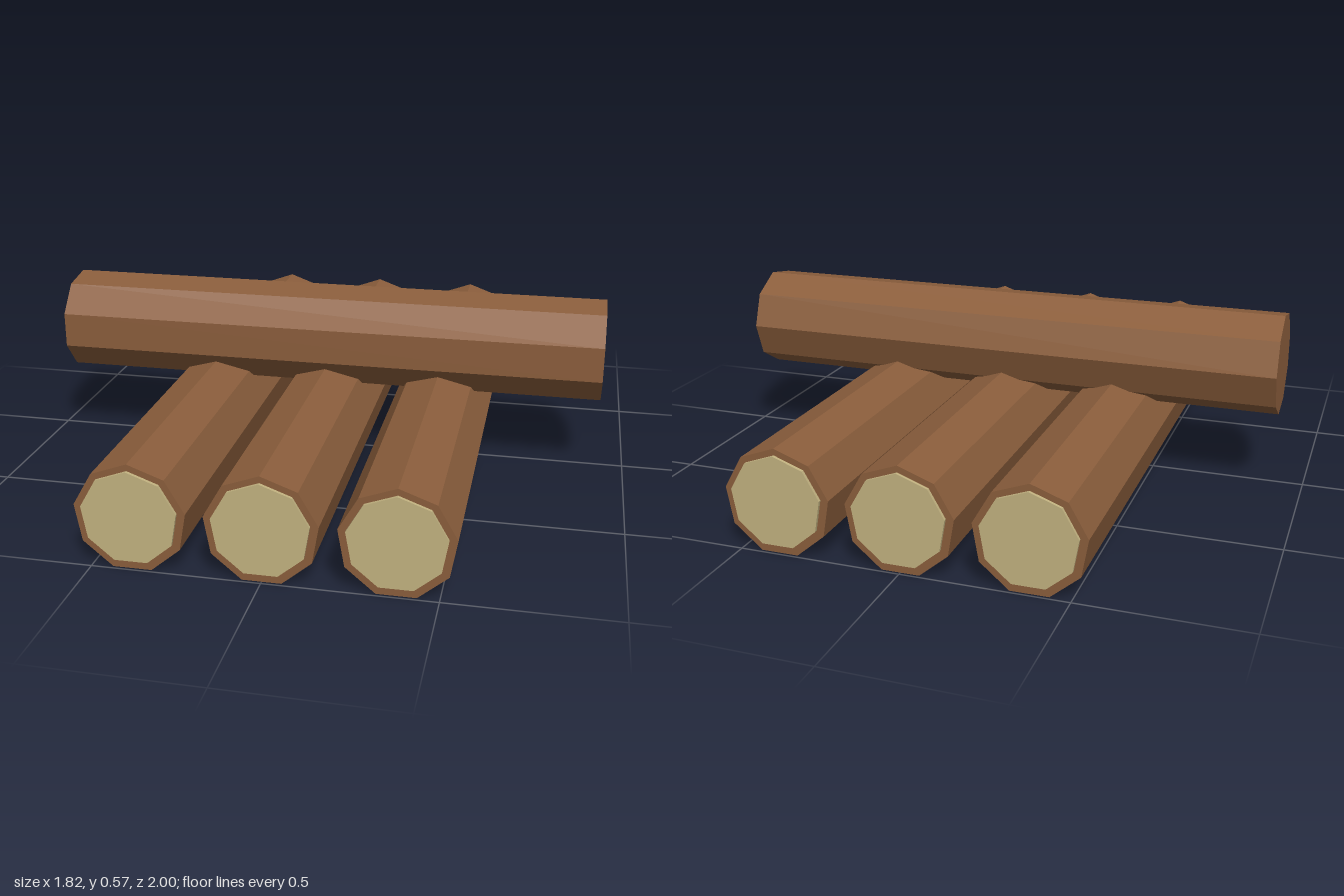
import * as THREE from 'three';

const SIDES = 9;
const RADIUS = 0.167;

export function createModel() {
  const group = new THREE.Group();
  const bark = new THREE.MeshStandardMaterial({ color: 0x8b5e3c, flatShading: true });
  const cutWood = new THREE.MeshStandardMaterial({ color: 0xc2b280, flatShading: true });

  // Faceted prism along z with one corner pointing up
  const prism = (radius, length) =>
    new THREE.CylinderGeometry(radius, radius, length, SIDES).rotateX(-Math.PI / 2);

  const add = (parent, name, geometry, material, x, y, z) => {
    const mesh = new THREE.Mesh(geometry, material);
    mesh.name = name;
    mesh.position.set(x, y, z);
    parent.add(mesh);
  };

  // Three parallel lower logs, each with a pale cut face on both ends
  const logGeometry = prism(RADIUS, 1.98);
  const capGeometry = prism(0.143, 0.02);
  for (const x of [-0.38, 0, 0.38]) {
    const lowerLog = new THREE.Group();
    lowerLog.name = 'lowerLog';
    lowerLog.position.set(x, 0.157, 0);
    add(lowerLog, 'bark', logGeometry, bark, 0, 0, 0);
    for (const side of [-1, 1]) add(lowerLog, 'cutEnd', capGeometry, cutWood, 0, 0.004, side * 0.99);
    group.add(lowerLog);
  }

  // Cross log lying over them along x, one corner pointing backwards
  const crossGeometry = new THREE.CylinderGeometry(RADIUS, RADIUS, 1.82, SIDES)
    .rotateZ(Math.PI / 2)
    .rotateY(Math.PI);
  add(group, 'crossLog', crossGeometry, bark, 0, 0.41, 0);

  return group;
}
